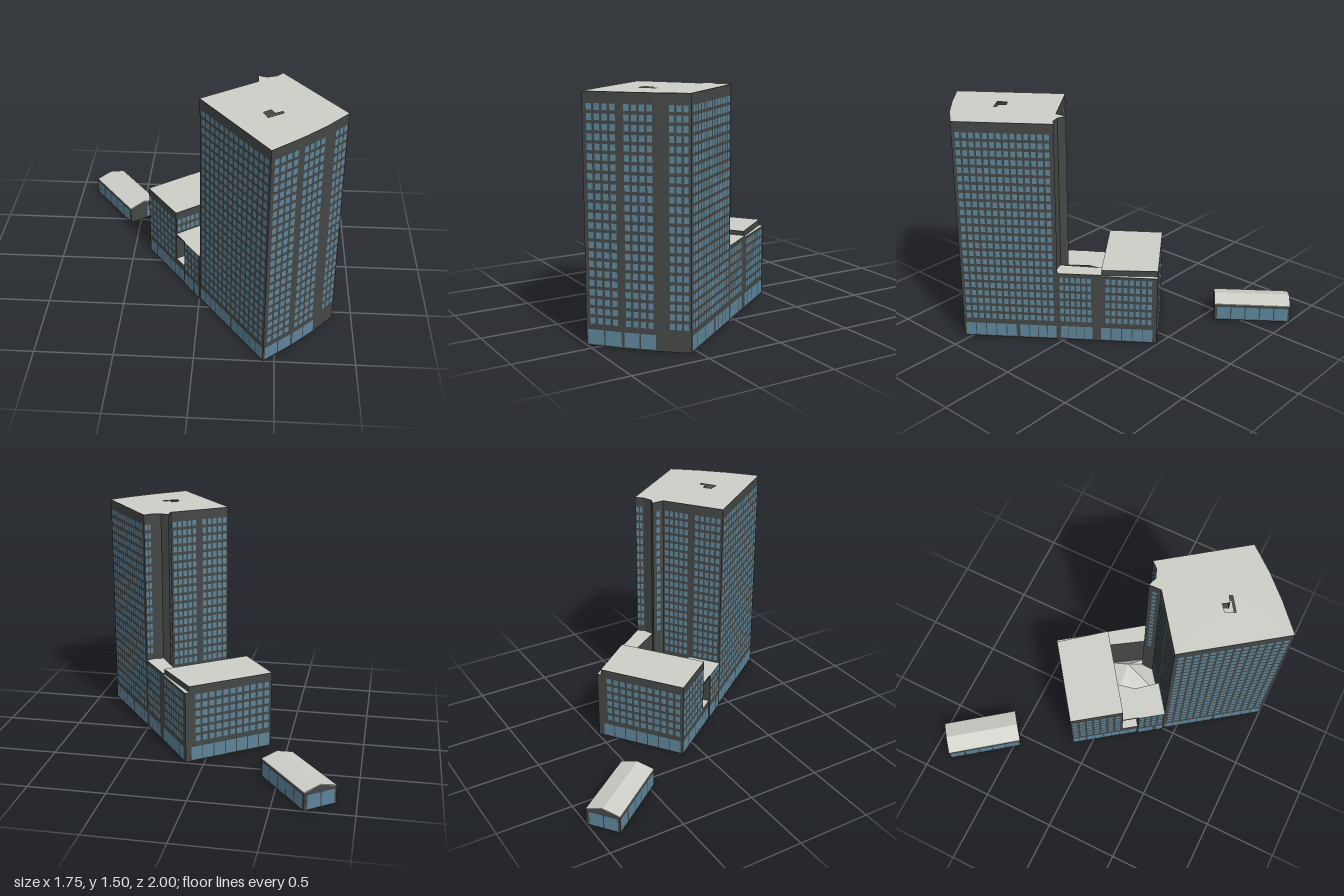
import * as THREE from 'three';
import { mergeGeometries } from 'three/addons/utils/BufferGeometryUtils.js';

export function createModel() {
  const paint = (name, color, extra) => {
    const m = new THREE.MeshStandardMaterial({ color, ...extra });
    m.name = name;
    return m;
  };
  const wall = paint('darkWall', 0x434745);
  const glass = paint('blueGlass', 0x5c8499);
  const roof = paint('paleRoof', 0xcdcec7, { side: THREE.DoubleSide });

  const model = new THREE.Group();
  model.name = 'towerComplex';

  // Each building has its own frame: x across its width, z along its length
  const building = (name, x, z, angle) => {
    const g = new THREE.Group();
    g.name = name;
    g.position.set(x, 0, z);
    g.rotation.y = angle;
    model.add(g);
    return g;
  };
  const add = (parent, name, geometry, material) => {
    const m = new THREE.Mesh(geometry, material);
    m.name = name;
    parent.add(m);
    return m;
  };
  const toShape = (pts, hole) => {
    const v = (list) => list.map(([x, z]) => new THREE.Vector2(x, -z));
    const s = new THREE.Shape(v(pts));
    if (hole) s.holes.push(new THREE.Path(v(hole)));
    return s;
  };
  const deck = (parent, name, pts, y, hole) =>
    add(parent, name, new THREE.ShapeGeometry(toShape(pts, hole)).rotateX(-Math.PI / 2).translate(0, y, 0), roof);

  // Upright block on a floor plan, with an optional pale roof
  const block = (parent, name, pts, y0, y1, roofed = true, hole) => {
    const h = y1 - y0 - (roofed ? 0.002 : 0);
    const geo = new THREE.ExtrudeGeometry(toShape(pts, hole), { depth: h, bevelEnabled: false });
    add(parent, name, geo.rotateX(-Math.PI / 2).translate(0, y0, 0), wall);
    if (roofed) deck(parent, name + 'Roof', pts, y1, hole);
  };

  // Grid of panes on a wall from a to b (left to right seen from outside);
  // each span is [start, end, columns] in fractions of the wall
  const panes = (parent, name, a, b, ys, h, fill, spans) => {
    const dx = b[0] - a[0], dz = b[1] - a[1], len = Math.hypot(dx, dz);
    const nx = -dz / len, nz = dx / len, off = 0.0025;
    const parts = [];
    for (const [f0, f1, n] of spans) {
      const step = (f1 - f0) / n;
      for (let i = 0; i < n; i++) {
        const f = f0 + (i + 0.5) * step;
        for (const y of ys) {
          parts.push(new THREE.PlaneGeometry(step * len * fill, h)
            .rotateY(Math.atan2(nx, nz))
            .translate(a[0] + dx * f + nx * off, y, a[1] + dz * f + nz * off));
        }
      }
    }
    add(parent, name, mergeGeometries(parts), glass);
  };
  const rows = (from, to) => Array.from({ length: to - from + 1 }, (_, i) => 0.155 + (from + i) * 0.0573);
  const upper = (p, name, a, b, r, spans) => panes(p, name, a, b, r, 0.038, 0.68, spans);
  const ground = (p, name, a, b, spans) => panes(p, name, a, b, [0.055], 0.09, 0.92, spans);

  const main = building('mainBuilding', -0.385, -0.125, 0.628);

  // Tower with a bowed front end, a notched rear corner and a roof pit
  const bow = [[0, 1.389], [0.23, 1.366], [0.43, 1.333], [0.627, 1.283]];
  const plan = [[0, 0.663], [0.424, 0.663], [0.47, 0.595], [0.503, 0.643], [0.567, 0.661], [0.623, 0.649],
    ...bow.slice().reverse()];
  const pit = [[0.213, 1.008], [0.273, 1.005], [0.269, 1.054], [0.319, 1.058], [0.314, 1.08], [0.2, 1.076]];
  block(main, 'tower', plan, 0, 1.42, false);
  block(main, 'towerTop', plan, 1.42, 1.503, true, pit);
  deck(main, 'roofPitFloor', pit, 1.422);

  const full = rows(0, 22), above = rows(4, 22);
  upper(main, 'towerLongWindowsRight', [0, 0.663], bow[0], full, [[0.025, 0.985, 14]]);
  upper(main, 'towerLongWindowsLeft', bow[3], plan[5], full, [[0.025, 0.965, 14]]);
  upper(main, 'towerFrontWindowsA', bow[0], bow[1], full, [[0.08, 0.9, 4]]);
  upper(main, 'towerFrontWindowsB', bow[1], bow[2], full, [[0.06, 0.95, 4]]);
  upper(main, 'towerFrontWindowsC', bow[2], bow[3], full, [[0.36, 0.96, 3]]);
  upper(main, 'towerBackWindows', plan[1], plan[0], above, [[0.02, 0.44, 5], [0.53, 0.98, 5]]);
  upper(main, 'towerBackCornerWindows', plan[5], plan[4], rows(7, 22), [[0.05, 0.95, 2]]);
  upper(main, 'towerNotchWindows', plan[2], plan[1], rows(7, 22), [[0.25, 0.75, 1]]);

  // Low rear block and the slightly lower strip along its side
  block(main, 'rearBlock', [[0, 0], [0.592, 0], [0.61, 0.365], [0, 0.365]], 0, 0.52);
  block(main, 'rearSideStrip', [[0.592, 0], [0.62, 0], [0.62, 0.365], [0.61, 0.365]], 0, 0.48);
  const low = rows(0, 5);
  upper(main, 'rearWindowsRight', [0, 0], [0, 0.365], low, [[0.01, 0.97, 7]]);
  upper(main, 'rearWindowsBack', [0.62, 0], [0, 0], low, [[0.1, 0.98, 11]]);
  upper(main, 'rearWindowsCourt', [0, 0.365], [0.5, 0.365], rows(4, 5), [[0.01, 0.99, 14]]);

  // Right-hand link: a wing beside a recess that is roofed over
  const recessFront = [[0, 0.365], [0.06, 0.365], [0.06, 0.475], [0, 0.475]];
  block(main, 'linkWing', [[-0.006, 0.475], [0.222, 0.475], [0.215, 0.496], [0.228, 0.663], [-0.006, 0.663]], 0, 0.35);
  block(main, 'linkRecess', [[0.06, 0.365], [0.27, 0.365], [0.222, 0.475], [0.06, 0.475]], 0, 0.35);
  block(main, 'linkBase', recessFront, 0, 0.145);
  block(main, 'linkOverhang', recessFront, 0.335, 0.35);
  upper(main, 'linkWingWindows', [-0.006, 0.475], [-0.006, 0.663], rows(0, 3), [[0.02, 0.95, 4]]);

  // Left-hand link, raised above the open ground floor behind a thin wall
  const link = [[0.517, 0.365], [0.62, 0.365], [0.622, 0.649], [0.567, 0.661], [0.503, 0.643]];
  block(main, 'leftLink', link, 0.1, 0.49);
  deck(main, 'leftLinkCeiling', link, 0.098);
  block(main, 'leftLinkWall', [[0.606, 0.365], [0.62, 0.365], [0.622, 0.649], [0.606, 0.655]], 0, 0.1, false);
  upper(main, 'lowWindowsLeft', [0.62, 0.649], [0.62, 0], low, [[0.01, 0.345, 6], [0.47, 0.955, 8]]);

  // Folded canopy over the open court
  const hub = [0.47, 0.17, 0.49];
  const rim = [[0.27, 0.1, 0.366], [0.517, 0.13, 0.366], [0.503, 0.13, 0.643], [0.47, 0.12, 0.595],
    [0.424, 0.1, 0.663], [0.228, 0.13, 0.663], [0.215, 0.1, 0.496]];
  const canopy = new THREE.BufferGeometry();
  const tris = rim.flatMap((p, i) => [...hub, ...rim[(i + 1) % rim.length], ...p]);
  canopy.setAttribute('position', new THREE.Float32BufferAttribute(tris, 3));
  canopy.computeVertexNormals();
  add(main, 'courtCanopy', canopy, roof);

  // Ground-floor glazing
  ground(main, 'shopfrontRightRear', [0, 0], [0, 0.475], [[0.01, 0.2, 2], [0.22, 0.98, 6]]);
  ground(main, 'shopfrontRightLink', [-0.006, 0.475], [-0.006, 0.663], [[0.02, 0.6, 2], [0.7, 0.98, 1]]);
  ground(main, 'shopfrontRightTower', [0, 0.663], bow[0], [[0.02, 0.5, 6], [0.52, 0.99, 5]]);
  ground(main, 'shopfrontLeftTower', bow[3], plan[5], [[0.02, 0.56, 5], [0.59, 0.98, 4]]);
  ground(main, 'shopfrontLeftRear', [0.62, 0.649], [0.62, 0], [[0.02, 0.35, 4], [0.43, 0.96, 5]]);
  ground(main, 'shopfrontBack', [0.62, 0], [0, 0], [[0.06, 0.98, 7]]);
  ground(main, 'shopfrontFrontA', bow[0], bow[1], [[0.03, 0.98, 2]]);
  ground(main, 'shopfrontFrontB', bow[1], bow[2], [[0.02, 1, 2]]);

  // Small annex with a shallow gabled roof
  const annex = building('annex', -0.877, -0.865, 0.645);
  const w = 0.225, len = 0.514, eave = 0.12, ridge = 0.15, thick = 0.004;
  const profile = (pts) => new THREE.ExtrudeGeometry(
    new THREE.Shape(pts.map(([x, y]) => new THREE.Vector2(x, y))), { depth: len, bevelEnabled: false });
  add(annex, 'annexWalls', profile([[0, 0], [w, 0], [w, eave - thick], [w / 2, ridge - thick], [0, eave - thick]]), wall);
  add(annex, 'annexRoof', profile([[0, eave - thick], [w / 2, ridge - thick], [w, eave - thick],
    [w, eave], [w / 2, ridge], [0, eave]]), roof);
  ground(annex, 'annexWindowsRight', [0, 0], [0, len], [[0.01, 0.2, 2], [0.22, 0.98, 4]]);
  ground(annex, 'annexWindowsLeft', [w, len], [w, 0], [[0.03, 0.98, 5]]);
  ground(annex, 'annexWindowsBack', [w, 0], [0, 0], [[0.08, 0.95, 2]]);
  ground(annex, 'annexWindowsFront', [0, len], [w, len], [[0.6, 0.97, 1]]);

  return model;
}
